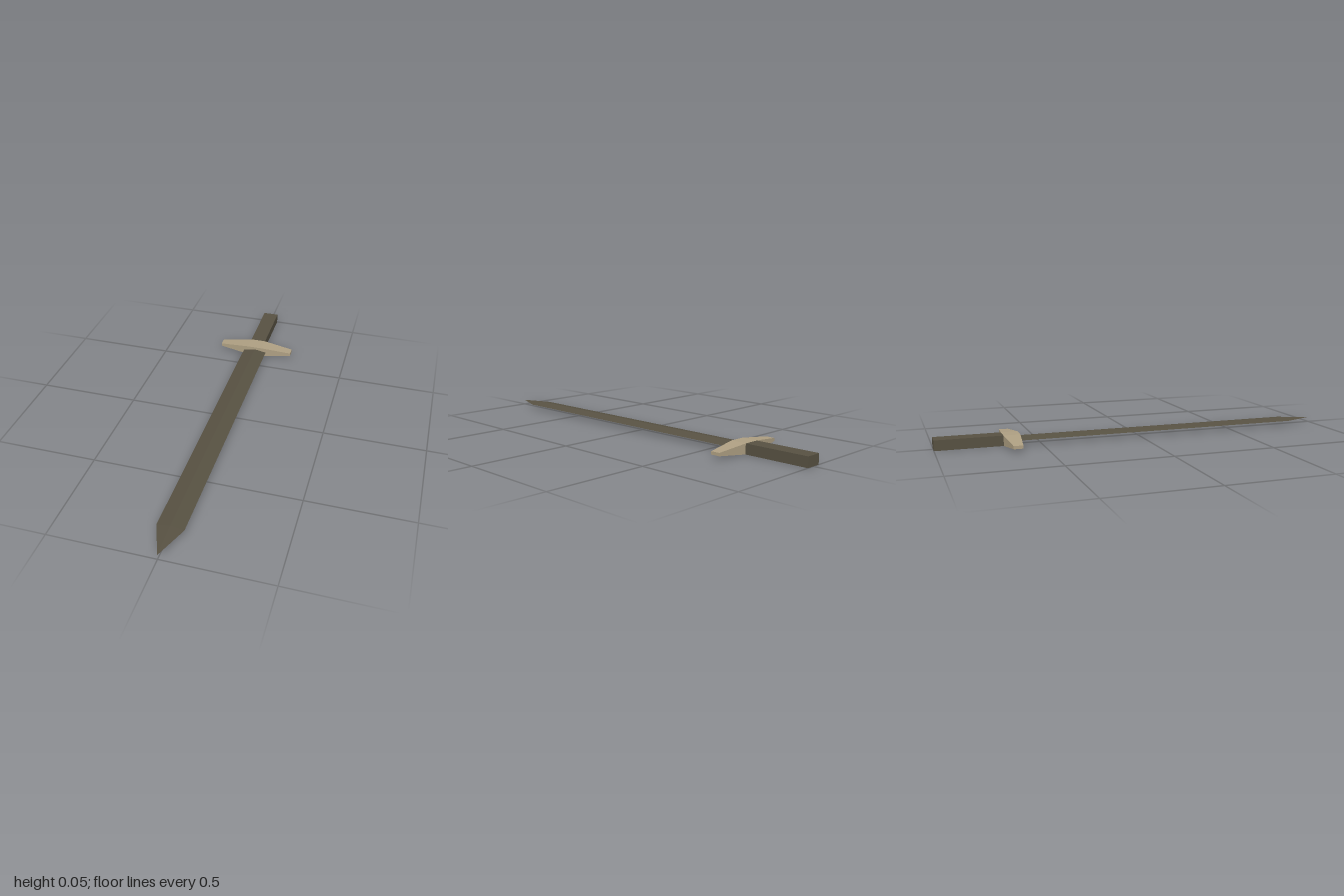
import * as THREE from 'three';

const MID = 0.025; // height of the sword's centre plane

function flatMesh(name, geometry, material) {
  const flat = geometry.toNonIndexed();
  flat.computeVertexNormals();
  const mesh = new THREE.Mesh(flat, material);
  mesh.name = name;
  return mesh;
}

// Diamond cross-section blade: base, shoulder and point
function bladeGeometry() {
  const g = new THREE.CylinderGeometry(0, 1, 2, 4, 2);
  g.rotateX(Math.PI / 2);
  const rings = [
    { z: -0.61, w: 0.0625, t: 0.0125 },
    { z: 0.84, w: 0.0625, t: 0.0105 },
    { z: 1.0, w: 0, t: 0 },
  ];
  const p = g.attributes.position;
  for (let i = 0; i < p.count; i++) {
    const { z, w, t } = rings[Math.round(p.getZ(i)) + 1];
    const x = p.getX(i), y = p.getY(i);
    const r = Math.hypot(x, y) || 1;
    p.setXYZ(i, (x / r) * w, MID + (y / r) * t, z);
  }
  return g;
}

// Crossguard: a full centre block with arms narrowing to both ends
function guardGeometry() {
  const g = new THREE.BoxGeometry(0.4, 0.05, 0.08, 3, 1, 1);
  const p = g.attributes.position;
  for (let i = 0; i < p.count; i++) {
    const x = p.getX(i);
    const end = Math.abs(x) > 0.1;
    p.setXYZ(i, Math.sign(x) * (end ? 0.2 : 0.04),
      p.getY(i) * (end ? 0.3 : 1), p.getZ(i) * (end ? 0.56 : 1));
  }
  return g.translate(0, MID, -0.64);
}

export function createModel() {
  const darkSteel = new THREE.MeshStandardMaterial({ color: 0x575142 });
  darkSteel.name = 'darkSteel';
  const paleBrass = new THREE.MeshStandardMaterial({ color: 0xae9f82 });
  paleBrass.name = 'paleBrass';

  const sword = new THREE.Group();
  sword.name = 'sword';
  const grip = new THREE.BoxGeometry(0.08, 0.05, 0.32).translate(0, MID, -0.84);
  sword.add(
    flatMesh('blade', bladeGeometry(), darkSteel),
    flatMesh('guard', guardGeometry(), paleBrass),
    flatMesh('grip', grip, darkSteel),
  );
  return sword;
}
